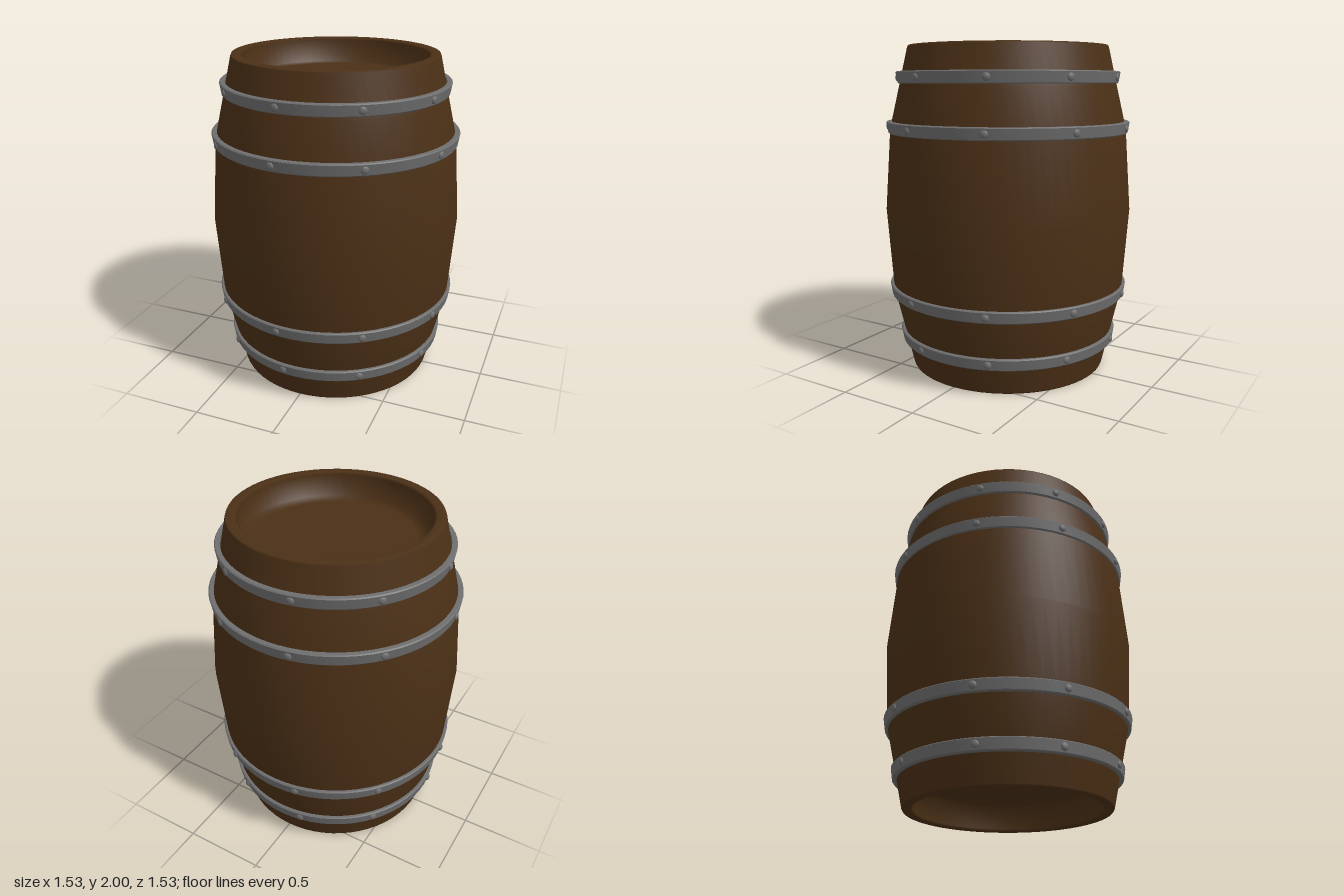
import * as THREE from 'three';
import { toCreasedNormals } from 'three/addons/utils/BufferGeometryUtils.js';

const SEGMENTS = 64;
const wood = new THREE.MeshStandardMaterial({ color: 0x4b3016 });
const iron = new THREE.MeshStandardMaterial({ color: 0x6e6e6e });
const points = (list) => list.map(([r, y]) => new THREE.Vector2(r, y));

// Barrel body: lower half of the profile, mirrored upward, with a sunken head at each end
function makeBody() {
  const lower = [
    [0, 0.15], [0.46, 0.15], [0.55, 0.15], [0.55, 0.012], [0.562, 0],
    [0.612, 0], [0.617, 0.01], [0.67, 0.24], [0.731, 0.5], [0.767, 1],
  ];
  const upper = lower.slice(0, -1).reverse().map(([r, y]) => [r, 2 - y]);
  const body = new THREE.Mesh(new THREE.LatheGeometry(points([...lower, ...upper]), SEGMENTS), wood);
  body.name = 'barrelBody';
  return body;
}

// Iron hoop: a closed, lightly bevelled band, slightly wider at its top edge
function makeHoop(radius) {
  const h = 0.036, b = 0.006, flare = 0.005, inner = radius - 0.032;
  const section = [
    [inner - flare, -h], [radius - flare - b, -h], [radius - flare, -h + b],
    [radius + flare, h - b], [radius + flare - b, h], [inner + flare, h], [inner - flare, -h],
  ];
  const geometry = new THREE.LatheGeometry(points(section), SEGMENTS);
  const band = new THREE.Mesh(toCreasedNormals(geometry, 0.5), iron);
  band.name = 'hoopBand';
  const hoop = new THREE.Group();
  hoop.add(band);

  // Domed rivets, with a wider gap where the band ends overlap
  const rivetGeometry = new THREE.SphereGeometry(0.023, 14, 10);
  for (let i = 0; i < 9; i++) {
    const angle = THREE.MathUtils.degToRad(-85.5 + 39.45 * i);
    const rivet = new THREE.Mesh(rivetGeometry, iron);
    rivet.name = 'rivet';
    rivet.position.set(Math.sin(angle) * radius, 0, Math.cos(angle) * radius);
    rivet.rotation.y = angle;
    rivet.scale.z = 0.55;
    hoop.add(rivet);
  }
  return hoop;
}

export function createModel() {
  const barrel = new THREE.Group();
  barrel.name = 'barrel';
  barrel.add(makeBody());

  const hoops = [
    ['bottomHoop', 0.2, 0.685], ['lowerHoop', 0.5, 0.748],
    ['upperHoop', 1.51, 0.748], ['topHoop', 1.81, 0.685],
  ];
  for (const [name, y, radius] of hoops) {
    const hoop = makeHoop(radius);
    hoop.name = name;
    hoop.position.y = y;
    barrel.add(hoop);
  }
  return barrel;
}
